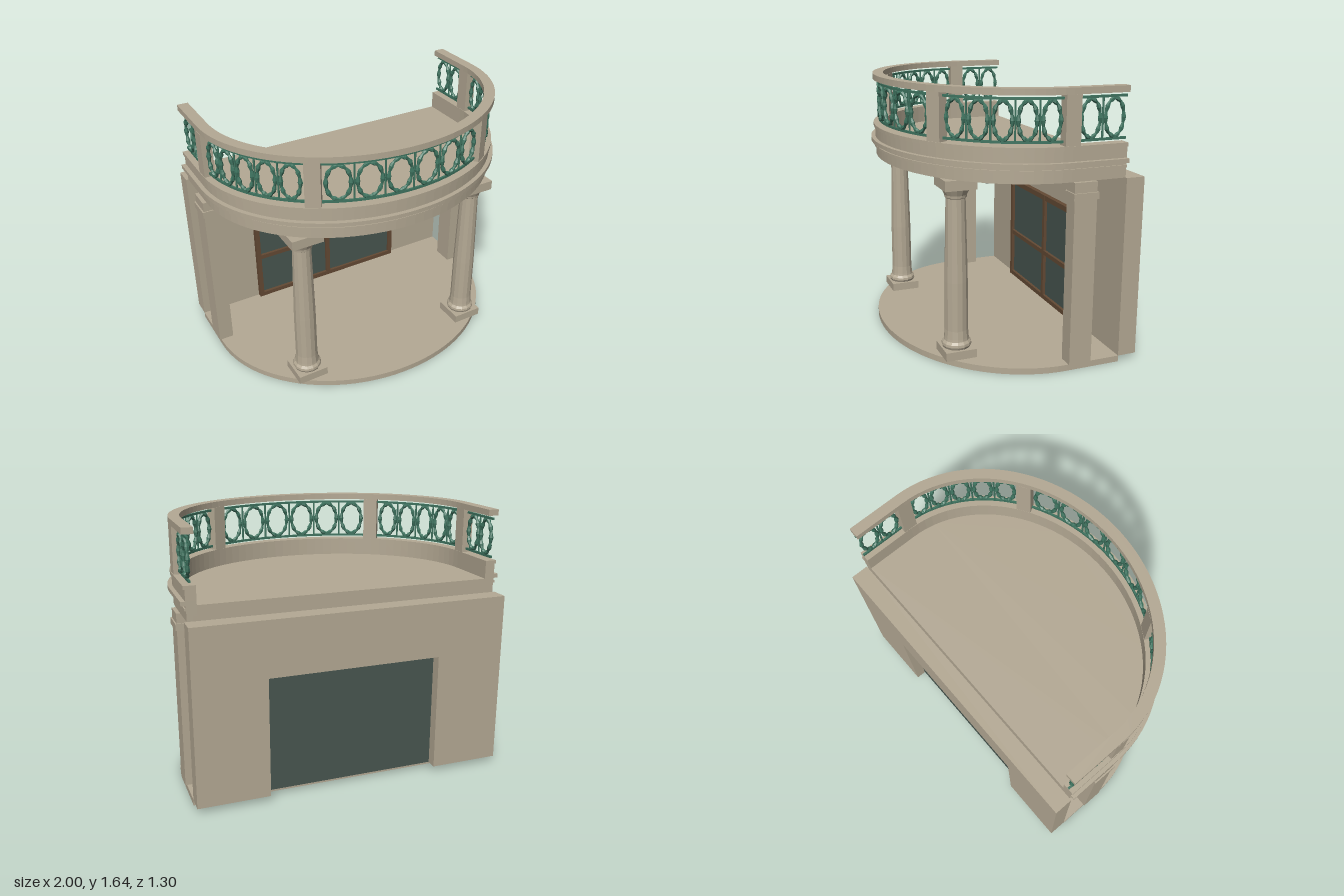
import * as THREE from 'three';

const mat = (name, color, opts = {}) => {
  const m = new THREE.MeshStandardMaterial({ color, ...opts });
  m.name = name;
  return m;
};

const ZC = -0.2;      // centre of the half ellipse in plan
const BACK = -0.54;   // where the straight sides end
const RA = 0.94, RB = 0.793; // railing centre line

export function createModel() {
  const stone = mat('stone', 0xb4a994);
  const wood = mat('wood', 0x644a34);
  const glass = mat('glass', 0x485650);
  const iron = mat('green iron', 0x3f7460, { flatShading: true });
  const stoneFlat = stone;

  const root = new THREE.Group();
  root.name = 'porchWithBalcony';

  const add = (name, geo, material, x = 0, y = 0, z = 0, parent = root) => {
    const m = new THREE.Mesh(geo, material);
    m.name = name;
    m.position.set(x, y, z);
    parent.add(m);
    return m;
  };
  const box = (name, material, x0, x1, y0, y1, z0, z1, parent) =>
    add(name, new THREE.BoxGeometry(x1 - x0, y1 - y0, z1 - z0), material,
      (x0 + x1) / 2, (y0 + y1) / 2, (z0 + z1) / 2, parent);

  // Plan outline: straight sides joined by a half ellipse
  const outline = (a, b) => {
    const pts = [new THREE.Vector2(a, BACK)];
    for (let i = 0; i <= 48; i++) {
      const t = (i / 48) * Math.PI;
      pts.push(new THREE.Vector2(a * Math.cos(t), ZC + b * Math.sin(t)));
    }
    pts.push(new THREE.Vector2(-a, BACK));
    return pts;
  };
  const raise = (name, pts, y0, y1, material) => {
    const g = new THREE.ExtrudeGeometry(new THREE.Shape(pts), { depth: y1 - y0, bevelEnabled: false });
    g.rotateX(Math.PI / 2);
    return add(name, g, material, 0, y1, 0);
  };
  const slab = (name, a, b, y0, y1) => raise(name, outline(a, b), y0, y1, stone);
  const strip = (name, a, b, w, y0, y1, material) =>
    raise(name, [...outline(a, b), ...outline(a - w, b - w).reverse()], y0, y1, material);

  // Floor and balcony deck
  slab('floorSlab', 0.98, 0.84, 0, 0.037);
  slab('balconyDeck', 0.93, 0.785, 1.12, 1.21);

  // Moulded edge of the balcony
  [
    ['lowerFascia', 0.965, 0.82, 1.12, 1.18],
    ['lowerFillet', 0.975, 0.833, 1.18, 1.195],
    ['recess', 0.967, 0.823, 1.195, 1.21],
    ['cornice', 0.995, 0.85, 1.21, 1.235],
    ['upperFascia', 0.968, 0.823, 1.235, 1.30],
    ['curbCap', 0.977, 0.832, 1.30, 1.322],
  ].forEach(([name, a, b, y0, y1]) => strip(name, a, b, a - 0.905, y0, y1, stone));

  // Back wall with a doorway
  const wall = new THREE.Shape([
    [-0.98, 0.037], [-0.54, 0.037], [-0.54, 0.775], [0.54, 0.775],
    [0.54, 0.037], [0.98, 0.037], [0.98, 1.12], [-0.98, 1.12],
  ].map(p => new THREE.Vector2(...p)));
  add('backWall', new THREE.ExtrudeGeometry(wall, { depth: 0.115, bevelEnabled: false }), stone, 0, 0, -0.655);

  // Glazed opening with wooden bars
  box('windowGlass', glass, -0.54, 0.54, 0.04, 0.775, -0.59, -0.525);
  for (const x of [-0.545, 0, 0.545])
    box('windowUpright', wood, x - 0.015, x + 0.015, 0.04, 0.79, -0.541, -0.505);
  for (const [y0, y1] of [[0.04, 0.07], [0.365, 0.395], [0.755, 0.79]])
    box('windowCrossbar', wood, -0.56, 0.56, y0, y1, -0.541, -0.506);

  // Columns and pilasters
  const shaft = new THREE.LatheGeometry([
    [0.001, 0.09], [0.083, 0.09], [0.09, 0.105], [0.088, 0.12], [0.076, 0.135], [0.074, 0.15],
    [0.07, 0.2], [0.069, 0.5], [0.058, 1.0], [0.064, 1.005], [0.066, 1.02], [0.085, 1.06], [0.001, 1.06],
  ].map(p => new THREE.Vector2(...p)), 14).toNonIndexed();
  shaft.computeVertexNormals();
  for (const s of [-1, 1]) {
    const column = new THREE.Group();
    column.name = s > 0 ? 'leftColumn' : 'rightColumn';
    column.position.set(s * 0.603, 0, 0.345);
    root.add(column);
    add('columnShaft', shaft, stoneFlat, 0, 0, 0, column);
    box('columnPlinth', stone, -0.098, 0.098, 0.037, 0.09, -0.095, 0.095, column);
    box('columnCapital', stone, -0.1, 0.1, 1.06, 1.12, -0.095, 0.095, column);

    const pilaster = new THREE.Group();
    pilaster.name = s > 0 ? 'leftPilaster' : 'rightPilaster';
    pilaster.position.set(s * 0.942, 0, -0.28);
    root.add(pilaster);
    box('pilasterShaft', stone, -0.047, 0.047, 0.037, 1.12, -0.07, 0.07, pilaster);
    box('pilasterBand', stone, -0.056, 0.056, 1.02, 1.06, -0.078, 0.078, pilaster);
  }

  // Handrail and thin iron rails
  strip('handrail', 0.972, 0.83, 0.067, 1.6, 1.637, stone);
  strip('lowerIronRail', RA + 0.006, RB + 0.006, 0.012, 1.337, 1.351, iron);
  strip('upperIronRail', RA + 0.006, RB + 0.006, 0.012, 1.573, 1.587, iron);

  // Point and heading on the railing line; t below zero runs back along the straight side
  const onRail = (t) => {
    if (t < 0) return { x: RA, z: ZC + t * RB, turn: Math.PI / 2 };
    const c = Math.cos(t), s = Math.sin(t);
    return { x: RA * c, z: ZC + RB * s, turn: Math.atan2(c / RA, s / RB) };
  };
  const place = (mesh, t, mirror) => {
    const p = onRail(t);
    mesh.position.x = mirror * p.x;
    mesh.position.z = p.z;
    mesh.rotation.y = mirror * p.turn;
  };

  // Oval wreath whose tube swells at regular intervals
  const wreath = (rx, ry) => {
    const g = new THREE.TorusGeometry(1, 0.3, 6, 40);
    const p = g.attributes.position;
    for (let i = 0; i < p.count; i++) {
      const x = p.getX(i), y = p.getY(i), u = Math.atan2(y, x);
      const r = 0.0115 * (1 + 0.3 * Math.cos(10 * u));
      const k = (Math.hypot(x, y) - 1) / 0.3 * r;
      p.setXYZ(i, Math.cos(u) * (rx + k), Math.sin(u) * (ry + k), p.getZ(i) / 0.3 * r);
    }
    g.computeVertexNormals();
    return g;
  };
  const picket = new THREE.CylinderGeometry(0.006, 0.006, 0.23, 6);
  const fill = (t0, t1, n, mirror) => {
    const step = (t1 - t0) / n;
    for (let i = 0; i < n; i++) {
      const t = t0 + step * (i + 0.5);
      const len = step * (t < 0 ? RB : Math.hypot(RA * Math.sin(t), RB * Math.cos(t)));
      place(add('railingWreath', wreath(len * 0.45 - 0.009, 0.105), iron, 0, 1.462, 0), t, mirror);
      if (i > 0) place(add('railingPicket', picket, iron, 0, 1.462, 0), t0 + step * i, mirror);
    }
  };
  const tPost = 0.935, gap = 0.058;
  fill(tPost + gap, Math.PI - tPost - gap, 6, 1);
  for (const s of [-1, 1]) {
    fill(gap, tPost - gap, 5, s);
    fill((BACK - ZC) / RB, -gap, 2, s);
    for (const t of [0, tPost])
      place(add('railingPost', new THREE.BoxGeometry(0.092, 0.28, 0.066), stone, 0, 1.461, 0), t, s);
  }

  // Hanging lamp
  const lamp = new THREE.Group();
  lamp.name = 'hangingLamp';
  lamp.position.set(0, 0, -0.1);
  root.add(lamp);
  add('lampRod', new THREE.CylinderGeometry(0.007, 0.007, 0.14, 8), wood, 0, 1.05, 0, lamp);
  add('lampCap', new THREE.CylinderGeometry(0.016, 0.022, 0.012, 8), wood, 0, 0.981, 0, lamp);
  add('lampRim', new THREE.CylinderGeometry(0.042, 0.042, 0.008, 8), wood, 0, 0.947, 0, lamp);
  const shade = new THREE.LatheGeometry([
    [0.001, 0.908], [0.022, 0.91], [0.038, 0.93], [0.041, 0.95], [0.022, 0.977], [0.001, 0.977],
  ].map(p => new THREE.Vector2(...p)), 8).toNonIndexed();
  shade.computeVertexNormals();
  add('lampShade', shade, stoneFlat, 0, 0, 0, lamp);

  return root;
}
